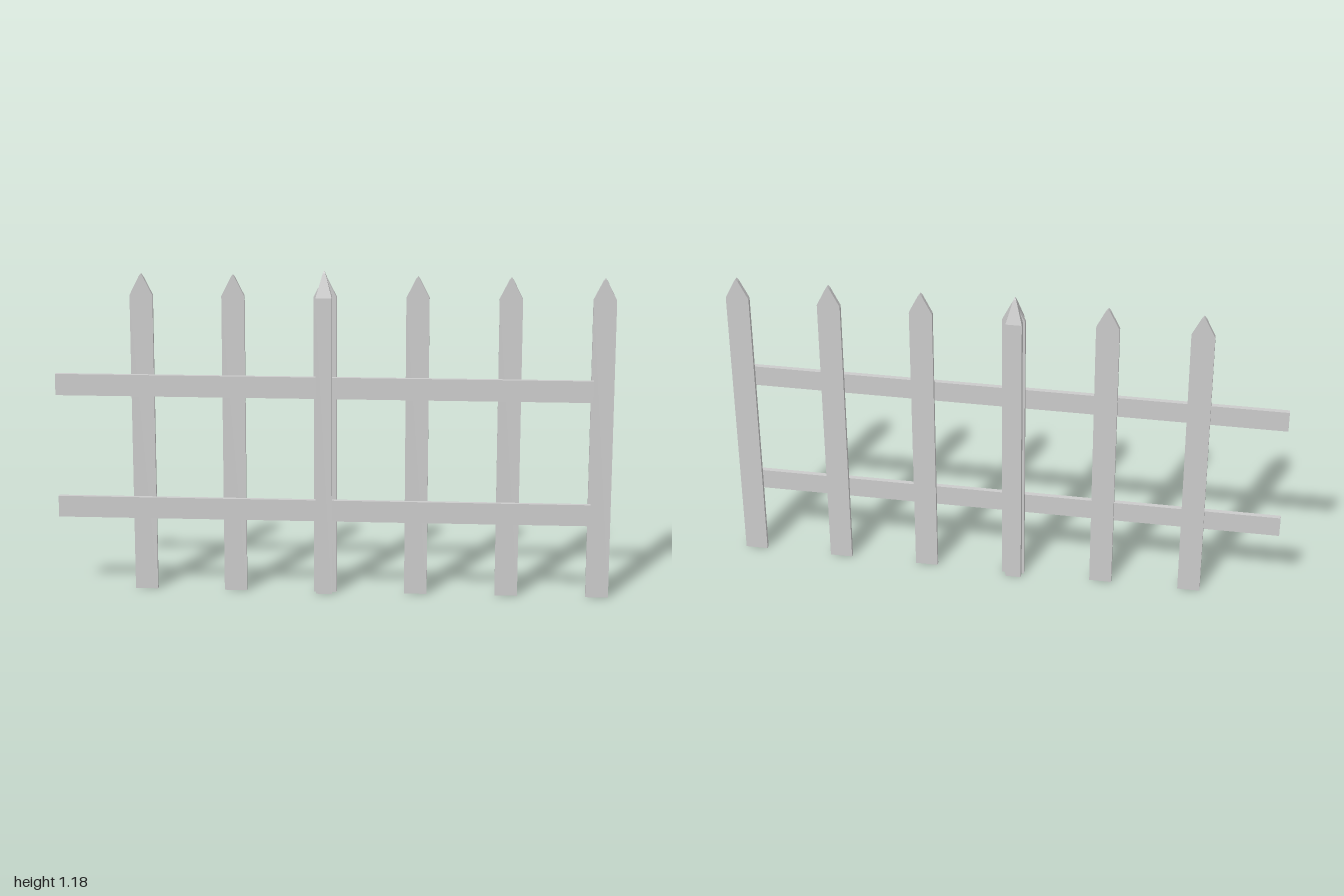
import * as THREE from 'three';

export function createModel() {
  const model = new THREE.Group();
  model.name = 'picketFence';
  const wood = new THREE.MeshStandardMaterial({ color: 0xcccccc, flatShading: true });

  function add(name, geometry, x, y, z) {
    const mesh = new THREE.Mesh(geometry, wood);
    mesh.name = name;
    mesh.position.set(x, y, z);
    model.add(mesh);
    return mesh;
  }

  // Pickets: thin boards with a pointed, slightly blunted tip
  const depth = 0.016;
  const half = [[0.041, 0], [0.041, 1.09], [0.007, 1.158]];
  const outline = [
    ...half,
    [0, 1.167],
    ...half.map(([x, y]) => [-x, y]).reverse(),
  ].map(([x, y]) => new THREE.Vector2(x, y));
  const picket = new THREE.ExtrudeGeometry(new THREE.Shape(outline), { depth, bevelEnabled: false });
  for (let i = 0; i < 6; i++) {
    add('picket' + (i + 1), picket, -0.685 + i * 0.3284, 0, -depth / 2);
  }

  // Rails: run across the front of the pickets
  const rail = new THREE.BoxGeometry(1.925, 0.078, 0.017);
  add('lowerRail', rail, -0.0375, 0.311, 0.0165);
  add('upperRail', rail, -0.0375, 0.764, 0.0165);

  // Post: square section with a four-sided point
  const profile = [[0, 0], [1, 0], [1, 1.09], [0.16, 1.175], [0, 1.185]]
    .map(([r, y]) => new THREE.Vector2(r * Math.SQRT2, y));
  const post = new THREE.LatheGeometry(profile, 4, Math.PI / 4);
  post.scale(0.029, 1, 0.033);
  add('post', post, -0.032, 0, 0);

  return model;
}
